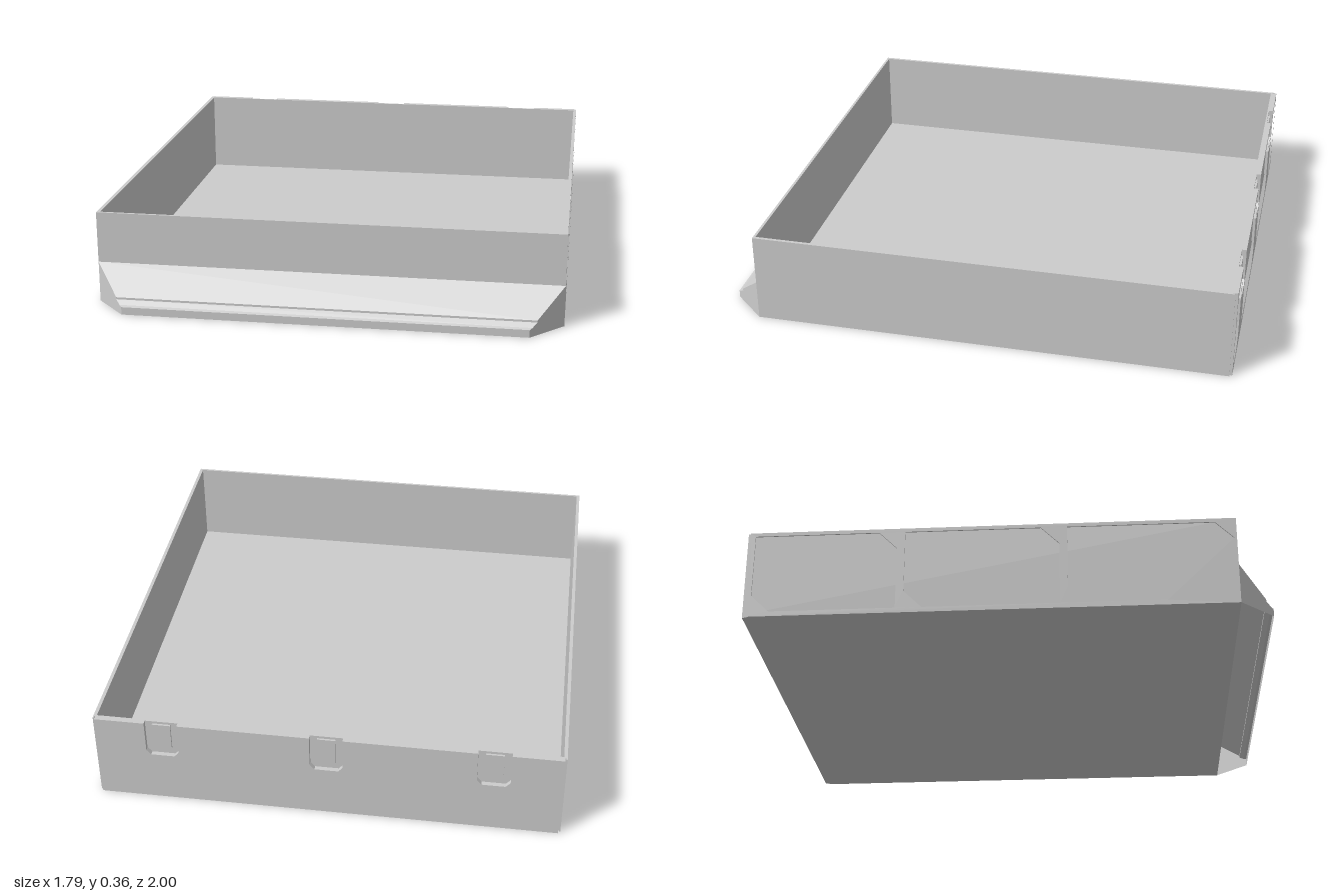
import * as THREE from 'three';

const grey = new THREE.MeshStandardMaterial({ color: 0xcccccc, flatShading: true });
const sheetGrey = new THREE.MeshStandardMaterial({ color: 0xcccccc, flatShading: true, side: THREE.DoubleSide });

function part(name, geometry, material = grey) {
  const mesh = new THREE.Mesh(geometry, material);
  mesh.name = name;
  return mesh;
}

// Box given by its lower and upper limits on each axis
function block(name, x0, x1, y0, y1, z0, z1) {
  const mesh = part(name, new THREE.BoxGeometry(x1 - x0, y1 - y0, z1 - z0));
  mesh.position.set((x0 + x1) / 2, (y0 + y1) / 2, (z0 + z1) / 2);
  return mesh;
}

// Thin plate with cut-out panels
function plate(name, outline, holes, depth) {
  const toPoints = (list) => list.map(([a, b]) => new THREE.Vector2(a, b));
  const shape = new THREE.Shape(toPoints(outline));
  holes.forEach((h) => shape.holes.push(new THREE.Path(toPoints(h))));
  return part(name, new THREE.ExtrudeGeometry(shape, { depth, bevelEnabled: false }));
}

const W = 0.893, H = 0.36, BACK = -1, FRONT = 0.87, FLOOR = 0.015;

// Hollow sloping ledge, mitred at both ends
function ledge() {
  const profile = [[0.87, 0.16], [0.972, 0.058], [0.972, 0.05], [0.99, 0.035], [1, 0.03], [1, 0]];
  const at = (side, [z, y]) => [side * (W - (z - FRONT) * 0.946), y, z];
  const v = [];
  for (let i = 0; i < profile.length - 1; i++) {
    const a = at(-1, profile[i]), b = at(-1, profile[i + 1]);
    const c = at(1, profile[i + 1]), d = at(1, profile[i]);
    v.push(...a, ...b, ...c, ...a, ...c, ...d);
    const foot = [FRONT, 0];
    v.push(...at(1, foot), ...d, ...c, ...at(-1, foot), ...b, ...a);
  }
  const g = new THREE.BufferGeometry();
  g.setAttribute('position', new THREE.Float32BufferAttribute(v, 3));
  g.computeVertexNormals();
  return part('frontLedge', g, sheetGrey);
}

// Side facing with three chamfered recessed panels, points as [z, y]
function sideFacing(side) {
  const panels = [
    [[0.79, 0.345], [0.23, 0.345], [0.23, 0.09], [0.3, 0.02], [0.6, 0.02], [0.86, 0.275]],
    ...[[0.2, -0.39], [-0.42, -0.97]].map(([f, b]) => [
      [f, 0.275], [f - 0.07, 0.345], [b, 0.345], [b, 0.09], [b + 0.07, 0.02], [f, 0.02],
    ]),
  ];
  const outline = [[FRONT, 0], [FRONT, H], [BACK + 0.01, H], [BACK + 0.01, 0]];
  const flip = (list) => list.map(([z, y]) => [-side * z, y]);
  const mesh = plate(side > 0 ? 'leftFacing' : 'rightFacing', flip(outline), panels.map(flip), 0.005);
  mesh.rotation.y = side * Math.PI / 2;
  mesh.position.x = side * 0.888;
  return mesh;
}

// Back facing with clip slots in the rim and four recessed panels
const SLOTS = [-0.63, 0, 0.63];
function backFacing() {
  const w = W - 0.008;
  const outline = [[w, 0], [-w, 0], [-w, H]];
  SLOTS.forEach((x) => outline.push(
    [x - 0.063, H], [x - 0.063, 0.23], [x - 0.045, 0.21],
    [x + 0.045, 0.21], [x + 0.063, 0.23], [x + 0.063, H]));
  outline.push([w, H]);
  const holes = [[-0.866, -0.71], [-0.554, -0.08], [0.08, 0.554], [0.71, 0.866]].map(([a, b]) => [
    [a, 0.335], [b - 0.04, 0.335], [b, 0.295], [b, 0.03], [a + 0.04, 0.03], [a, 0.07],
  ]);
  const mesh = plate('backFacing', outline, holes, 0.018);
  mesh.position.z = BACK;
  return mesh;
}

export function createModel() {
  const group = new THREE.Group();
  group.name = 'tray';

  // Floor and inner walls
  group.add(block('floor', -0.888, 0.888, 0, FLOOR, -0.982, FRONT));
  group.add(block('backWall', -0.888, 0.888, FLOOR, H, -0.982, -0.975));
  group.add(block('frontWall', -0.888, 0.888, FLOOR, H, 0.86, FRONT));
  for (const side of [-1, 1]) {
    const wall = block(side > 0 ? 'leftWall' : 'rightWall', -0.004, 0.004, FLOOR, H, -0.975, 0.86);
    wall.position.x = side * 0.884;
    group.add(wall, sideFacing(side));
  }

  // Back with clips set in the slots
  group.add(backFacing());
  SLOTS.forEach((x) => group.add(block('clip', x - 0.035, x + 0.035, 0.24, H - 0.01, -0.99, -0.982)));

  group.add(ledge());
  return group;
}
